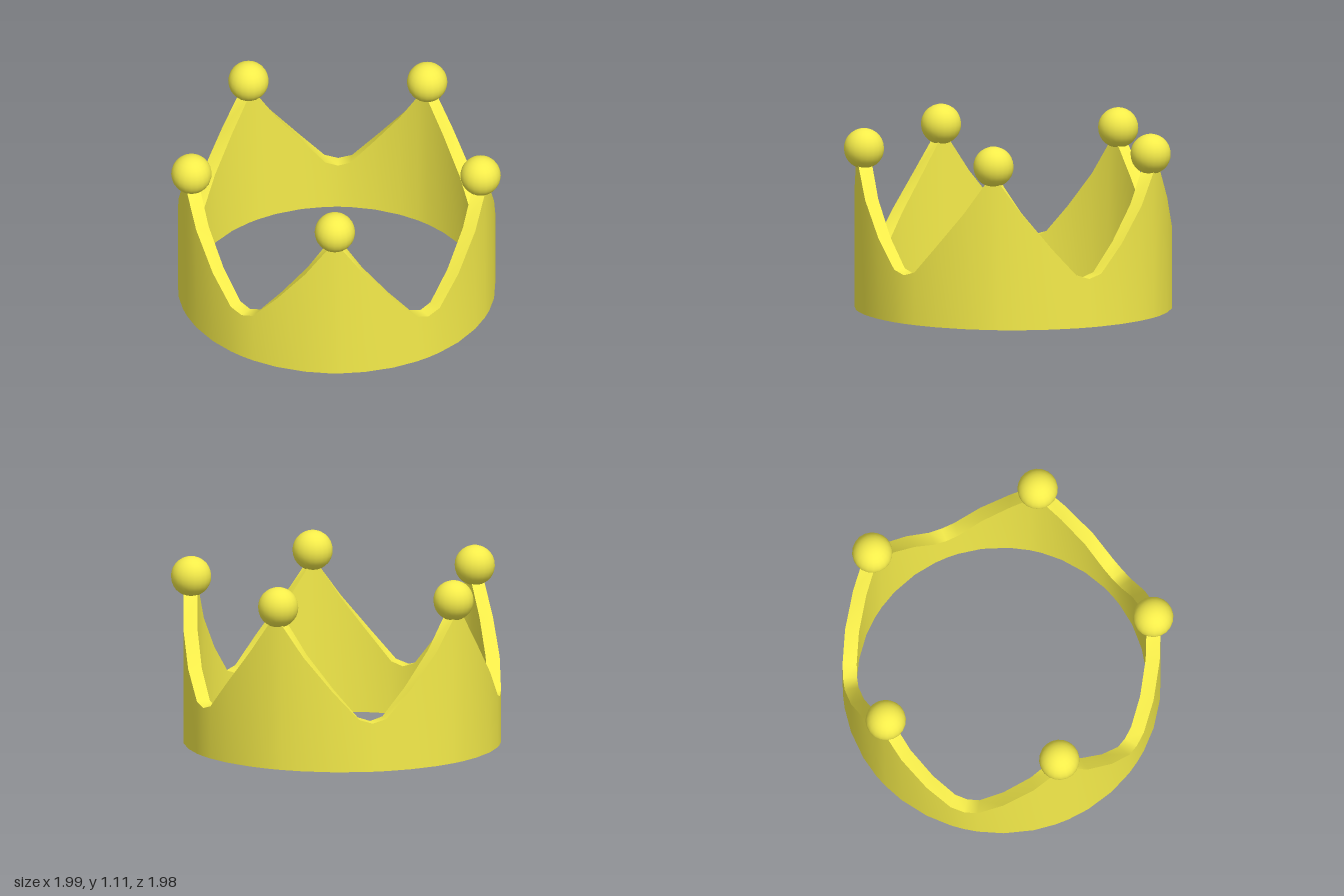
import * as THREE from 'three';

const SPIKES = 5, OUTER = 0.957, INNER = 0.872, CENTRE_X = -0.043;

// Rim height by degrees away from a spike's tip
const RIM = [[2.5, 0.89], [10.7, 0.7], [21.5, 0.49], [31, 0.32], [36, 0.295]];

// Full rim: each spike's falling side mirrored into its rising side
function rimPoints() {
  const rising = RIM.slice(0, -1).reverse().map(([d, y]) => [-d, y]);
  const points = [];
  for (let s = 0; s < SPIKES; s++) {
    for (const [d, y] of [...rising, ...RIM]) {
      points.push({ angle: THREE.MathUtils.degToRad(s * 360 / SPIKES + d), y });
    }
  }
  return points;
}

// Closed ring wall: outer face, rim, inner face and underside, each smooth with hard edges between
function bandGeometry() {
  const rim = rimPoints(), n = rim.length;
  const positions = [], indices = [];
  const corners = [[OUTER, 0], [OUTER, 1], [INNER, 1], [INNER, 0]]; // radius, share of rim height
  corners.forEach((from, k) => {
    const to = corners[(k + 1) % 4];
    const base = positions.length / 3;
    rim.forEach(({ angle, y }, i) => {
      for (const [r, h] of [from, to]) {
        positions.push(r * Math.cos(angle), h * y, r * Math.sin(angle));
      }
      const a = base + i * 2, b = base + ((i + 1) % n) * 2;
      indices.push(a, a + 1, b + 1, a, b + 1, b);
    });
  });
  const geometry = new THREE.BufferGeometry();
  geometry.setAttribute('position', new THREE.Float32BufferAttribute(positions, 3));
  geometry.setIndex(indices);
  geometry.computeVertexNormals();
  return geometry;
}

export function createModel() {
  const crown = new THREE.Group();
  crown.name = 'crown';
  const gold = new THREE.MeshStandardMaterial({ color: 0xf5ec4a });

  const band = new THREE.Mesh(bandGeometry(), gold);
  band.name = 'spikedBand';
  band.position.x = CENTRE_X;
  crown.add(band);

  // A ball on the tip of each spike
  const ballGeometry = new THREE.SphereGeometry(0.122, 20, 14);
  const ballRadius = (OUTER + INNER) / 2;
  for (let s = 0; s < SPIKES; s++) {
    const angle = s * 2 * Math.PI / SPIKES;
    const ball = new THREE.Mesh(ballGeometry, gold);
    ball.name = `spikeBall${s + 1}`;
    ball.position.set(CENTRE_X + ballRadius * Math.cos(angle), 0.988, ballRadius * Math.sin(angle));
    crown.add(ball);
  }
  return crown;
}
